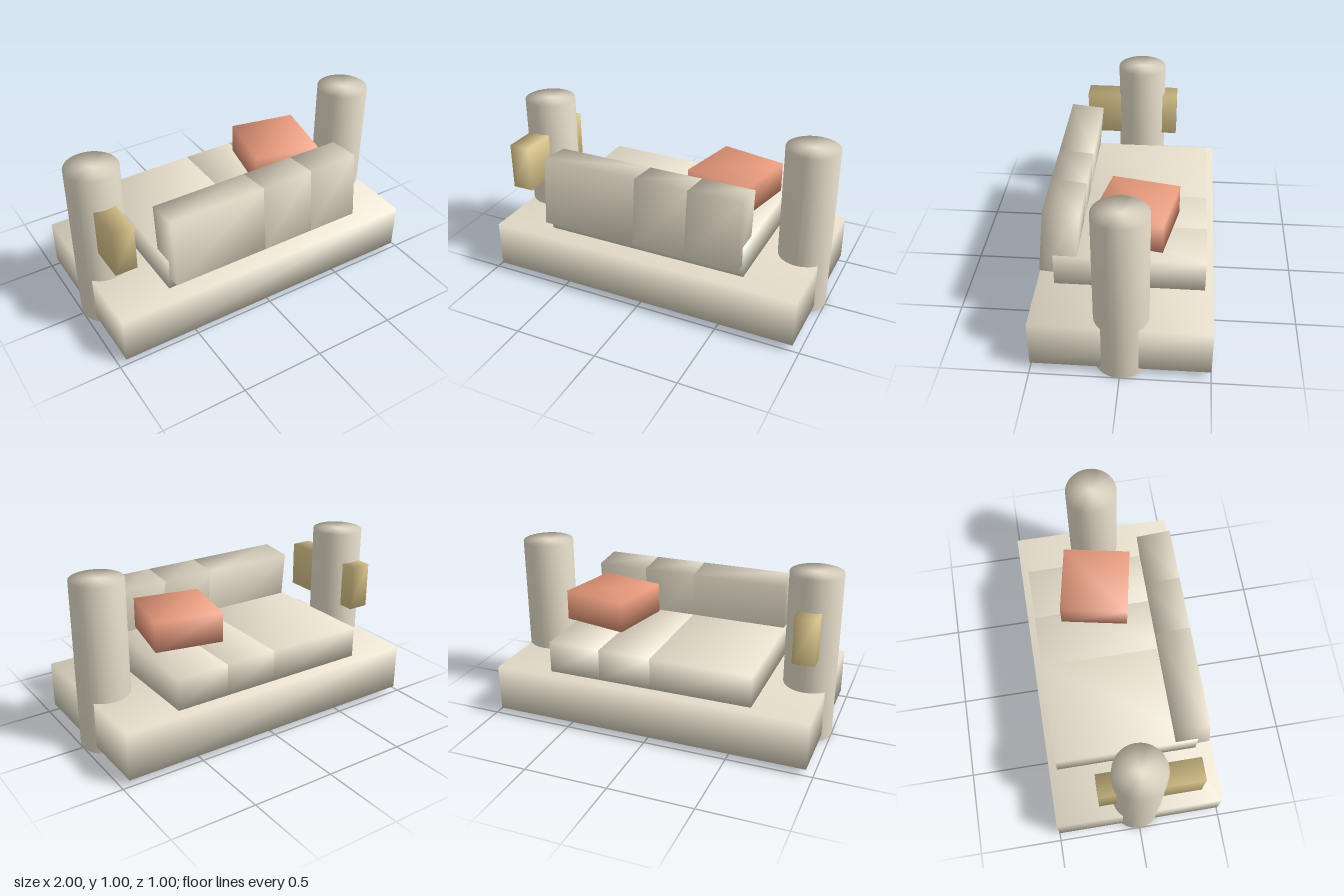
import * as THREE from 'three';
import { mergeVertices } from 'three/addons/utils/BufferGeometryUtils.js';

const cream = new THREE.MeshStandardMaterial({ color: 0xe8dfcc });
const coral = new THREE.MeshStandardMaterial({ color: 0xe89a7c });
const straw = new THREE.MeshStandardMaterial({ color: 0xdcc68c });

// Shares corner vertices so shading runs softly around the edges
function soften(geometry) {
  geometry.deleteAttribute('uv');
  geometry.deleteAttribute('normal');
  const g = mergeVertices(geometry, 1e-4);
  g.computeVertexNormals();
  return g;
}

function part(name, geometry, material, x, y, z) {
  const mesh = new THREE.Mesh(soften(geometry), material);
  mesh.name = name;
  mesh.position.set(x, y, z);
  return mesh;
}

// A row of cushions lying side by side between the given seams
function cushionRow(name, seams, height, depth) {
  const row = new THREE.Group();
  row.name = name;
  for (let i = 0; i < seams.length - 1; i++) {
    const a = seams[i], b = seams[i + 1];
    row.add(part(name + 'Cushion', new THREE.BoxGeometry(b - a, height, depth), cream, (a + b) / 2, 0, 0));
  }
  return row;
}

export function createModel() {
  const sofa = new THREE.Group();
  sofa.name = 'sofa';

  // Base slab
  sofa.add(part('base', new THREE.BoxGeometry(1.92, 0.28, 1), cream, 0, 0.18, 0));

  // Upright round arms
  for (const side of [-1, 1]) {
    sofa.add(part(side > 0 ? 'leftArm' : 'rightArm',
      new THREE.CylinderGeometry(0.153, 0.153, 1, 32), cream, side * 0.847, 0.5, 0));
  }

  // Seat cushions
  const seat = cushionRow('seat', [-0.623, -0.02, 0.3, 0.62], 0.19, 0.85);
  seat.position.set(0, 0.425, -0.025);
  sofa.add(seat);

  // Leaning back cushions
  const back = cushionRow('back', [-0.615, -0.03, 0.293, 0.61], 0.407, 0.203);
  back.position.set(0, 0.604, 0.36);
  back.rotation.x = -0.1;
  sofa.add(back);

  // Loose pillow, turned on the seat
  const pillow = part('pillow', new THREE.BoxGeometry(0.4, 0.18, 0.4), coral, 0.382, 0.67, -0.052);
  pillow.rotation.y = -0.2;
  sofa.add(pillow);

  // Throw passing through the right arm
  sofa.add(part('throw', new THREE.BoxGeometry(0.13, 0.28, 0.595), straw, -0.85, 0.67, 0.062));

  return sofa;
}
